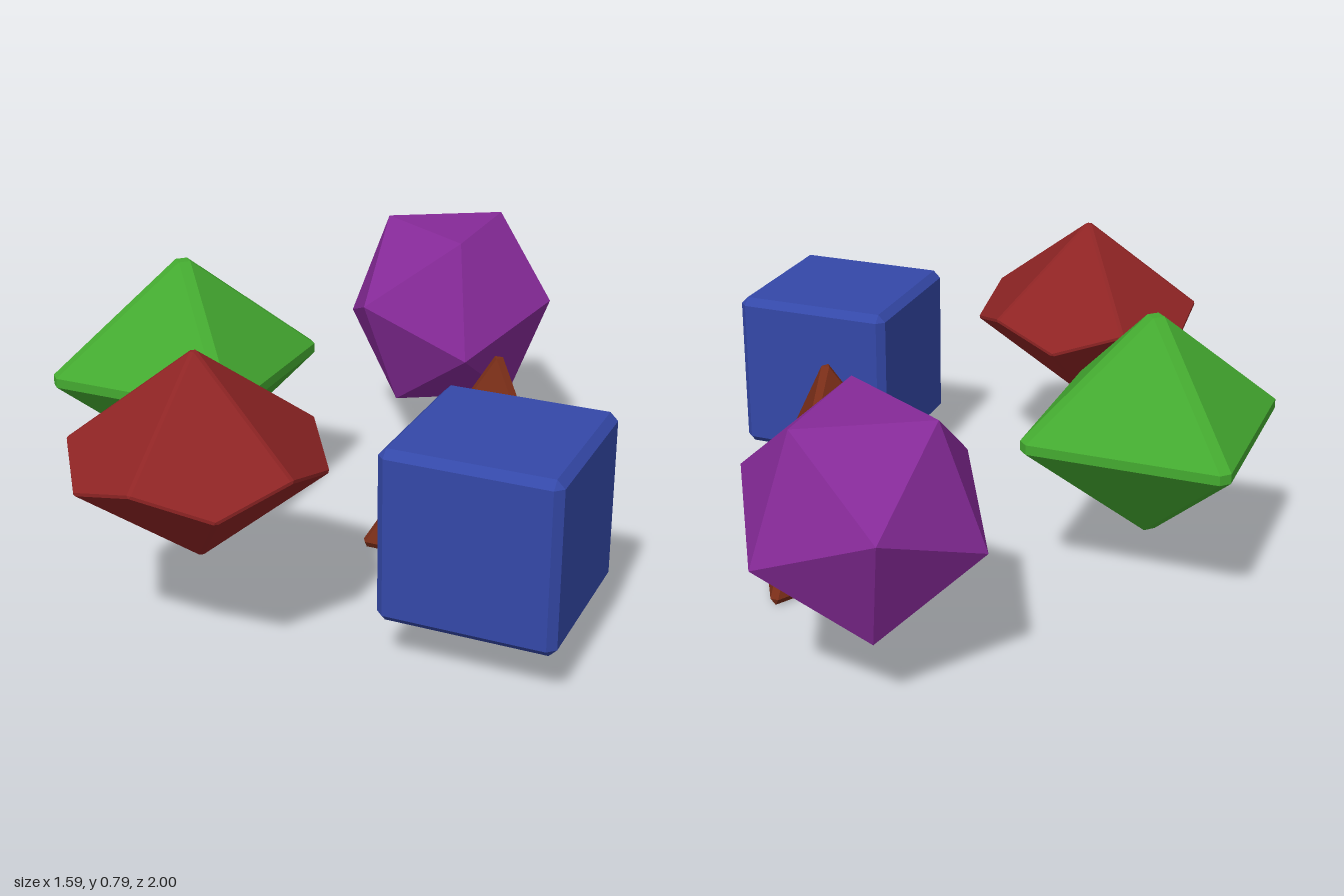
import * as THREE from 'three';
import { ConvexGeometry } from 'three/addons/geometries/ConvexGeometry.js';

const V = (x, y, z) => new THREE.Vector3(x, y, z);

// point on a horizontal ring; angle 0 is +x, 90 is +z
const polar = (radius, degrees, y) => {
  const a = THREE.MathUtils.degToRad(degrees);
  return V(radius * Math.cos(a), y, radius * Math.sin(a));
};

// shrink every face towards its own centre; the hull then chamfers all edges and corners
function bevelled(faces, amount) {
  const points = [];
  for (const face of faces) {
    const centre = V(0, 0, 0);
    face.forEach((p) => centre.add(p));
    centre.divideScalar(face.length);
    face.forEach((p) => points.push(p.clone().lerp(centre, amount)));
  }
  return new ConvexGeometry(points);
}

// six-sided die
function cubeGeometry(half, amount) {
  const faces = [];
  for (let axis = 0; axis < 3; axis++) {
    for (const side of [-half, half]) {
      faces.push([[-1, -1], [1, -1], [1, 1], [-1, 1]].map(([u, v]) => {
        const p = V(0, 0, 0);
        p.setComponent(axis, side);
        p.setComponent((axis + 1) % 3, u * half);
        p.setComponent((axis + 2) % 3, v * half);
        return p;
      }));
    }
  }
  return bevelled(faces, amount);
}

// four-sided die, standing on its base with one corner to the back
function tetraGeometry(radius, height, amount) {
  const base = [-90, 30, 150].map((a) => polar(radius, a, 0));
  const apex = V(0, height, 0);
  const sides = base.map((p, i) => [p, base[(i + 1) % 3], apex]);
  return bevelled([base, ...sides], amount);
}

// eight-sided die: two square pyramids
function octaGeometry(half, height, amount) {
  const faces = [];
  for (const y of [-height, height]) {
    for (let i = 0; i < 4; i++) {
      const r = half * Math.SQRT2;
      faces.push([polar(r, 45 + i * 90, 0), polar(r, 135 + i * 90, 0), V(0, y, 0)]);
    }
  }
  return bevelled(faces, amount);
}

// ten-sided die: kites meeting at a zigzag waist
function tenGeometry(radius, height, amount) {
  const zig = height * Math.tan(Math.PI / 10) ** 2;
  const waist = (i) => polar(radius, 90 + i * 36, i % 2 === 0 ? zig : -zig);
  const faces = [];
  for (let i = 0; i < 10; i++) {
    const apex = V(0, i % 2 === 0 ? -height : height, 0);
    faces.push([apex, waist(i + 9), waist(i), waist(i + 1)]);
  }
  return bevelled(faces, amount);
}

// twenty-sided die, sharp edged, resting on a face
function icosaGeometry(edge) {
  const points = [];
  for (let i = 0; i < 3; i++) {
    const a = i * 120;
    const pair = [
      polar(edge * 0.5774, a + 60, edge * 0.7558),
      polar(edge * 0.9342, a, edge * 0.1784),
    ];
    pair.forEach((p) => points.push(p, p.clone().negate()));
  }
  return new ConvexGeometry(points);
}

export function createModel() {
  const group = new THREE.Group();
  group.name = 'diceSet';

  const add = (name, geometry, color, x, y, z) => {
    const material = new THREE.MeshStandardMaterial({ color, flatShading: true });
    const mesh = new THREE.Mesh(geometry, material);
    mesh.name = name;
    mesh.position.set(x, y, z);
    group.add(mesh);
  };

  add('fourSidedDie', tetraGeometry(0.4, 0.602, 0.1), 0x7a2e18, 0.365, 0, -0.133);
  add('sixSidedDie', cubeGeometry(0.233, 0.09), 0x3448a8, 0.563, 0.367, 0.402);
  add('eightSidedDie', octaGeometry(0.293, 0.337, 0.12), 0x44aa30, -0.517, 0.461, 0.03);
  add('tenSidedDie', tenGeometry(0.332, 0.283, 0.045), 0x8e2424, -0.13, 0.516, 0.67);
  add('twentySidedDie', icosaGeometry(0.35), 0x862a98, -0.005, 0.465, -0.717);
  return group;
}
